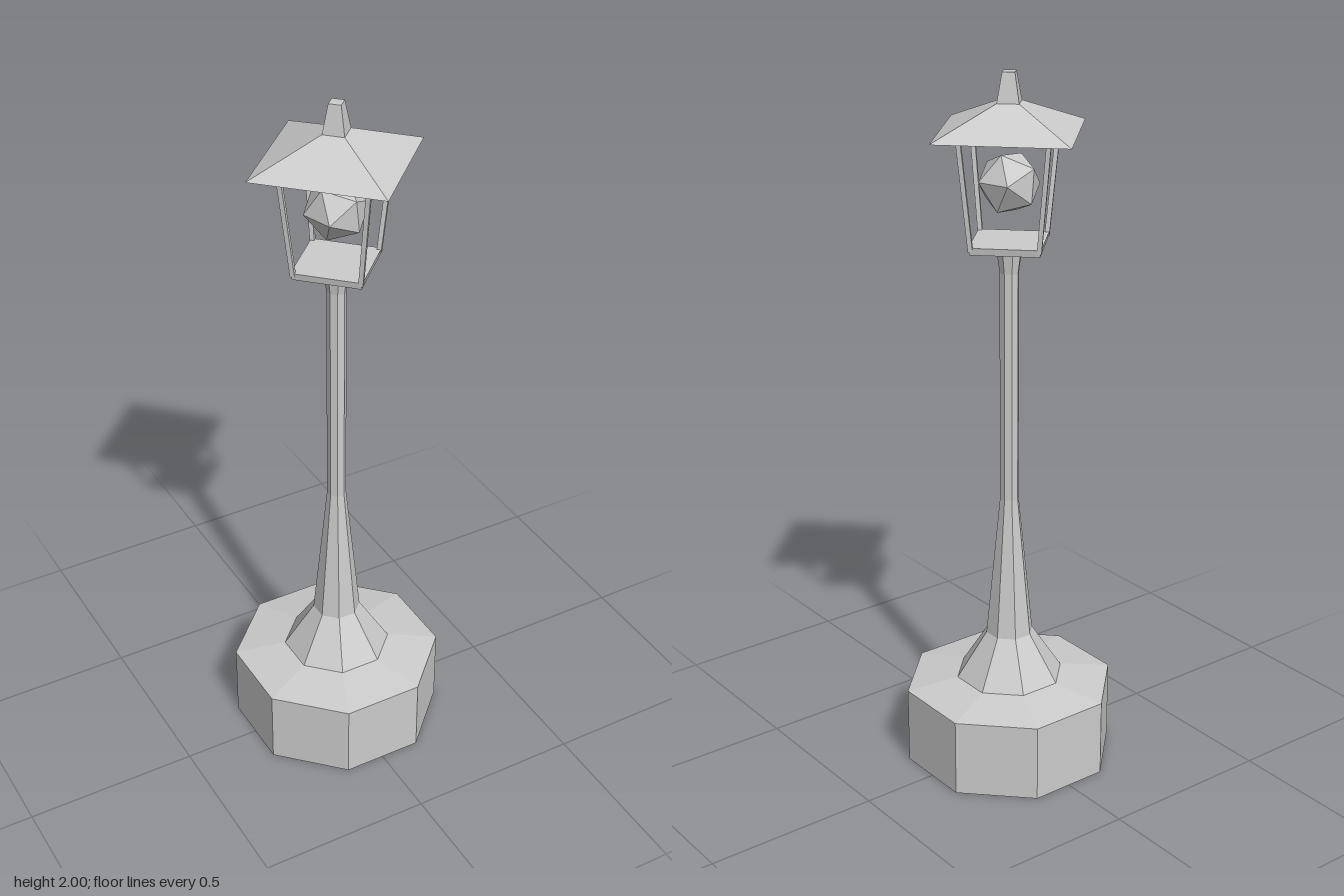
import * as THREE from 'three';

const material = new THREE.MeshStandardMaterial({ color: 0xcccccc, flatShading: true });

export function createModel() {
  const group = new THREE.Group();
  const add = (name, geometry, y = 0) => {
    const mesh = new THREE.Mesh(geometry, material);
    mesh.name = name;
    mesh.position.y = y;
    group.add(mesh);
    return mesh;
  };

  // Octagonal lathe with flats facing the axes; profile is [half width, y]
  const octagon = (name, profile) => add(name, new THREE.LatheGeometry(
    profile.map(([w, y]) => new THREE.Vector2(w / Math.cos(Math.PI / 8), y)), 8, Math.PI / 8));

  // Four-sided frustum with its corners on the axes
  const diamond = (name, top, bottom, y0, y1) =>
    add(name, new THREE.CylinderGeometry(top, bottom, y1 - y0, 4), (y0 + y1) / 2);

  // Plinth and flared post
  octagon('plinth', [[0, 0], [0.28, 0], [0.28, 0.225], [0.143, 0.25], [0, 0.25]]);
  octagon('post', [[0.143, 0.25], [0.063, 0.385], [0.025, 0.8], [0.025, 1.46], [0.034, 1.53]]);

  // Lantern tray, roof and finial
  diamond('lanternTray', 0.137, 0.132, 1.53, 1.55);
  diamond('roof', 0.042, 0.258, 1.842, 1.92);
  diamond('finial', 0.024, 0.042, 1.92, 2);

  // Leaning corner bars and the rails joining their tops
  const up = new THREE.Vector3(0, 1, 0);
  for (let i = 0; i < 4; i++) {
    const a = i * Math.PI / 2;
    const low = new THREE.Vector3(0.129, 1.54, 0).applyAxisAngle(up, a);
    const high = new THREE.Vector3(0.167, 1.845, 0).applyAxisAngle(up, a);
    const bar = add('cornerBar', new THREE.CylinderGeometry(0.009, 0.009, low.distanceTo(high), 4));
    bar.position.copy(low).lerp(high, 0.5);
    bar.quaternion.setFromUnitVectors(up, high.clone().sub(low).normalize());

    const rail = add('topRail', new THREE.BoxGeometry(0.167 * Math.SQRT2, 0.013, 0.012));
    rail.position.set(0.0835, 1.836, 0.0835).applyAxisAngle(up, a);
    rail.rotation.y = a + Math.PI / 4;
  }

  // Faceted lamp
  const lamp = add('lamp', new THREE.IcosahedronGeometry(0.089, 0), 1.705);
  lamp.rotation.set(0, 0.3, 0.12);

  return group;
}
